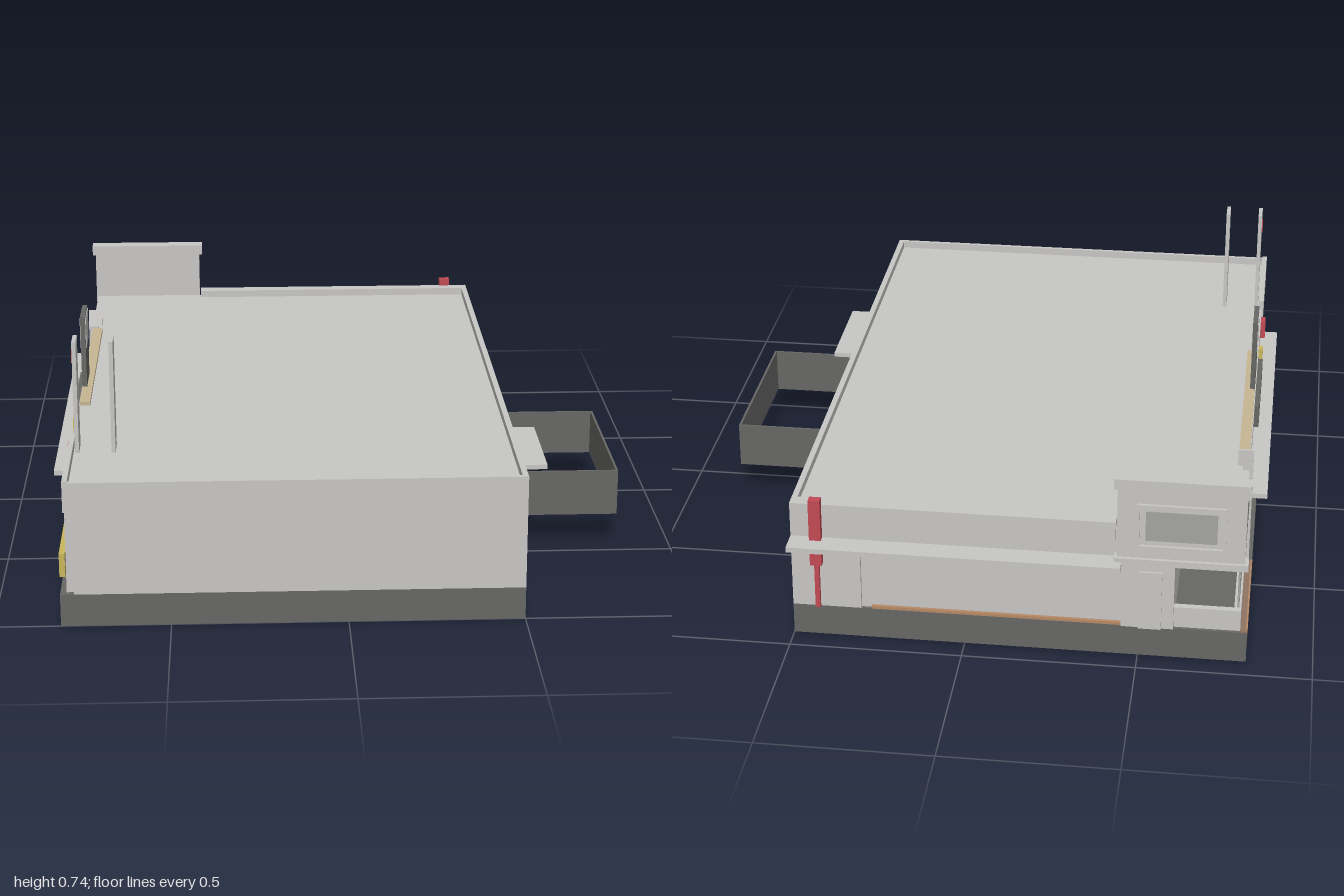
import * as THREE from 'three';

const mat = (name, color) => {
  const m = new THREE.MeshStandardMaterial({ color });
  m.name = name;
  return m;
};

export function createModel() {
  const model = new THREE.Group();
  model.name = 'shopBuilding';
  const wall = mat('light grey wall', 0xc8c7c5);
  const dark = mat('dark grey', 0x676766);
  const glass = mat('window grey', 0xa5a4a1);
  const red = mat('red', 0xc24a54);
  const tan = mat('tan', 0xc6b793);
  const brown = mat('brown', 0x8f7462);
  const wood = mat('wood trim', 0xb58a66);
  const yellow = mat('yellow', 0xc9b65c);

  // Box given by its limits on each axis
  const box = (name, m, x0, x1, y0, y1, z0, z1) => {
    const mesh = new THREE.Mesh(new THREE.BoxGeometry(x1 - x0, y1 - y0, z1 - z0), m);
    mesh.position.set((x0 + x1) / 2, (y0 + y1) / 2, (z0 + z1) / 2);
    mesh.name = name;
    model.add(mesh);
    return mesh;
  };

  // Plinth and building volumes, with an open corner porch
  box('plinth', dark, -0.81, 0.5, 0, 0.095, -0.93, 1);
  box('mainHall', wall, -0.77, 0.5, 0.095, 0.3, -0.53, 1);
  box('backHall', wall, -0.6, 0.5, 0.095, 0.3, -0.92, -0.53);
  box('roofSlab', wall, -0.79, 0.5, 0.3, 0.405, -0.92, 1);

  // Parapets
  box('frontParapet', wall, -0.79, 0.5, 0.405, 0.428, 0.987, 1);
  box('rightParapet', wall, 0.483, 0.5, 0.405, 0.428, -0.93, 1);
  box('backParapet', wall, -0.43, 0.5, 0.405, 0.428, -0.93, -0.89);
  box('leftParapet', wall, -0.795, -0.78, 0.34, 0.432, 0.62, 1);
  box('roofEdgeTrim', tan, -0.787, -0.755, 0.4, 0.416, -0.5, 0.27);

  // Canopies
  box('leftCanopy', wall, -0.845, -0.785, 0.308, 0.323, -0.52, 0.615);
  box('backCanopy', wall, -0.45, 0.5, 0.306, 0.322, -1, -0.92);
  box('rightCanopy', wall, 0.5, 0.602, 0.306, 0.32, 0.28, 0.615);

  // Yard enclosure and side door
  box('yardWallBack', dark, 0.5, 0.84, 0.095, 0.235, -0.11, -0.103);
  box('yardWallFront', dark, 0.5, 0.84, 0.095, 0.235, 0.438, 0.445);
  box('yardWallOuter', dark, 0.833, 0.84, 0.095, 0.235, -0.11, 0.445);
  box('sideDoor', wall, 0.5, 0.507, 0.095, 0.265, 0.25, 0.37);

  // Tall sign wall at the back corner
  box('signWall', wall, -0.795, -0.435, 0.32, 0.57, -0.955, -0.92);
  box('signCap', wall, -0.805, -0.425, 0.553, 0.585, -0.965, -0.918);
  box('signLedge', wall, -0.805, -0.428, 0.315, 0.335, -0.965, -0.92);
  const frame = [
    [-0.74, -0.49, 0.5, 0.508], [-0.74, -0.49, 0.37, 0.378],
    [-0.74, -0.732, 0.37, 0.508], [-0.498, -0.49, 0.37, 0.508],
  ];
  frame.forEach(([x0, x1, y0, y1]) => box('signFrame', wall, x0, x1, y0, y1, -0.964, -0.955));
  box('signPanel', glass, -0.715, -0.515, 0.393, 0.485, -0.958, -0.953);

  // Back wall panel, trim and door pier
  box('backEndPier', wall, 0.3, 0.5, 0.095, 0.306, -0.93, -0.92);
  box('backLintel', wall, -0.43, 0.5, 0.285, 0.405, -0.93, -0.92);
  box('backPier', wall, -0.6, -0.45, 0.095, 0.32, -0.935, -0.92);
  box('backDoor', wall, -0.565, -0.5, 0.095, 0.28, -0.942, -0.935);
  box('backTrim', wood, -0.45, 0.27, 0.095, 0.104, -0.93, -0.92);

  // Red drainpipe with its wide head
  box('pipeHead', red, 0.408, 0.442, 0.24, 0.45, -0.952, -0.926);
  box('pipe', red, 0.418, 0.432, 0.095, 0.24, -0.942, -0.928);

  // Corner porch: low sills, side glazing, toothed fascia and paving edge
  box('porchSillBack', wall, -0.79, -0.6, 0.095, 0.16, -0.92, -0.9);
  box('porchSillLeft', wall, -0.79, -0.77, 0.095, 0.16, -0.9, -0.53);
  box('porchGlass', glass, -0.784, -0.778, 0.16, 0.3, -0.9, -0.53);
  box('porchPaving', brown, -0.81, -0.79, 0.095, 0.1, -0.93, -0.53);
  box('porchTrim', wood, -0.811, -0.806, 0.095, 0.104, -0.93, -0.53);
  for (let i = 0; i < 12; i++) {
    const z = -0.9 + i * 0.03;
    box('fasciaTooth', dark, -0.794, -0.789, 0.3, 0.316, z, z + 0.015);
  }

  // Blade pier with a sloping head
  box('bladePier', wall, -0.8, -0.77, 0.095, 0.43, -0.53, -0.51);
  const head = box('bladeHead', wall, -0.8, -0.755, 0.42, 0.47, -0.53, -0.505);
  const p = head.geometry.attributes.position;
  for (let i = 0; i < p.count; i++) {
    if (p.getY(i) > 0 && p.getZ(i) > 0) p.setZ(i, -0.004);
  }
  head.geometry = head.geometry.toNonIndexed();
  head.geometry.computeVertexNormals();

  // Left shop front: piers with glazed bays between them
  [[-0.18, tan], [0.14, tan], [0.25, tan], [0.56, tan], [0.97, wall]].forEach(([z, m]) =>
    box('shopPier', m, -0.792, -0.768, 0.095, 0.308, z - 0.012, z + 0.012));
  const bays = [
    [-0.5, -0.2, glass], [-0.165, 0.125, brown], [0.155, 0.235, tan],
    [0.265, 0.545, glass], [0.575, 0.955, glass],
  ];
  bays.forEach(([z0, z1, m]) => {
    box('shopBay', m, -0.777, -0.769, 0.11, 0.295, z0, z1);
    box('bayTrim', wood, -0.795, -0.77, 0.095, 0.104, z0, z1);
  });
  box('serviceBox', wall, -0.79, -0.77, 0.16, 0.27, -0.46, -0.28);

  // Low yellow rail
  box('yellowRail', yellow, -0.82, -0.803, 0.145, 0.165, 0.6, 0.87);
  [0.6, 0.855].forEach((z) => box('yellowPost', yellow, -0.82, -0.803, 0.095, 0.15, z, z + 0.015));

  // Small signs above the left canopy
  box('darkSign', dark, -0.805, -0.79, 0.323, 0.395, -0.09, 0.25);
  box('yellowSign', yellow, -0.803, -0.79, 0.345, 0.395, 0.32, 0.35);
  box('redSign', red, -0.805, -0.79, 0.33, 0.39, 0.55, 0.585);

  // Upright roof sign with a light panel on both faces
  box('roofSign', dark, -0.787, -0.772, 0.37, 0.64, -0.012, 0.12);
  box('roofSignPanel', wall, -0.789, -0.77, 0.54, 0.633, -0.005, 0.113);

  // Pair of tall roof fins
  [-0.77, -0.665].forEach((x) => box('roofFin', wall, x - 0.006, x + 0.006, 0.4, 0.738, 0.62, 0.693));
  box('finMark', red, -0.779, -0.775, 0.67, 0.71, 0.643, 0.67);

  return model;
}
